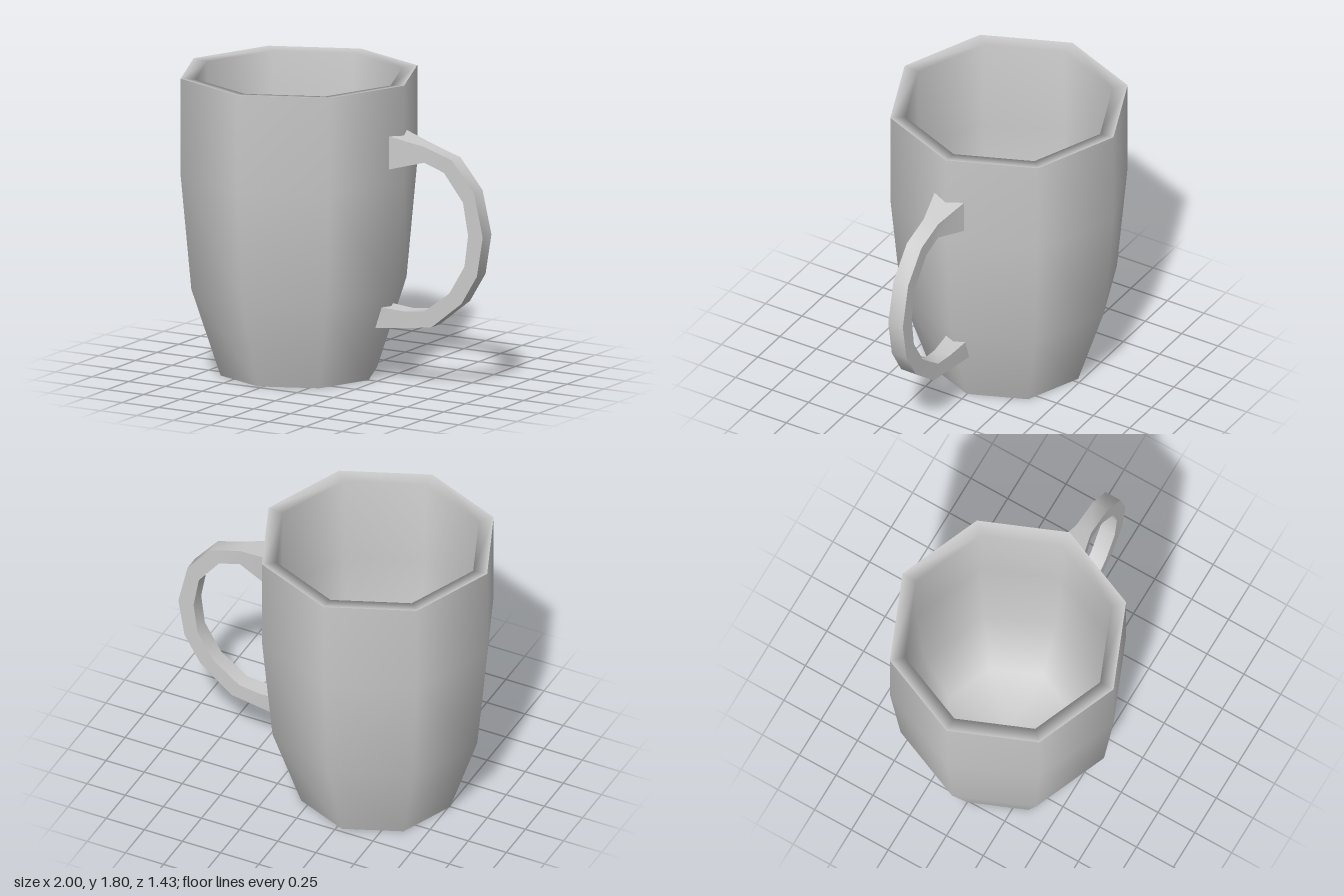
import * as THREE from 'three';
import { toCreasedNormals } from 'three/addons/utils/BufferGeometryUtils.js';

const CUP_X = -0.283;
const grey = () => new THREE.MeshStandardMaterial({ color: 0xcccccc });

// Eight-sided turned surface around the cup's axis; profile is [radius, height]
function turned(name, profile) {
  const points = profile.map(([r, y]) => new THREE.Vector2(r, y));
  const mesh = new THREE.Mesh(new THREE.LatheGeometry(points, 8), grey());
  mesh.position.x = CUP_X;
  mesh.name = name;
  return mesh;
}

// Four-cornered sections [outerX, outerY, innerX, innerY, halfWidth] joined into a closed bar
function sweptBar(sections) {
  const positions = [];
  const index = [];
  for (const [ox, oy, ix, iy, w] of sections) {
    positions.push(ox, oy, w, ox, oy, -w, ix, iy, -w, ix, iy, w);
  }
  const last = (sections.length - 1) * 4;
  for (let i = 0; i < last; i += 4) {
    for (let k = 0; k < 4; k++) {
      const a = i + k, b = i + (k + 1) % 4;
      index.push(a, a + 4, b + 4, a, b + 4, b);
    }
  }
  // End caps
  index.push(0, 1, 2, 0, 2, 3);
  index.push(last, last + 2, last + 1, last, last + 3, last + 2);
  const geometry = new THREE.BufferGeometry();
  geometry.setAttribute('position', new THREE.Float32BufferAttribute(positions, 3));
  geometry.setIndex(index);
  return toCreasedNormals(geometry, 0.75);
}

export function createModel() {
  const model = new THREE.Group();
  model.name = 'mug';

  // Outer wall, tapering towards the foot
  model.add(turned('outerWall', [[0.475, 0], [0.652, 0.53], [0.717, 1.22], [0.717, 1.8]]));

  // Flat underside
  model.add(turned('base', [[0, 0], [0.475, 0]]));

  // Rim, inner wall and floor
  model.add(turned('rimAndInside', [
    [0.717, 1.8], [0.625, 1.79], [0.625, 1.22], [0.565, 0.56], [0.4, 0.1], [0, 0.1],
  ]));

  // Handle, flared where it meets the wall
  const handle = new THREE.Mesh(sweptBar([
    [0.39, 1.51, 0.39, 1.31, 0.102],
    [0.6, 1.46, 0.6, 1.365, 0.05],
    [0.79, 1.4, 0.735, 1.32, 0.05],
    [0.94, 1.22, 0.865, 1.155, 0.05],
    [1, 0.96, 0.9, 0.96, 0.05],
    [0.96, 0.72, 0.875, 0.77, 0.05],
    [0.855, 0.545, 0.77, 0.595, 0.05],
    [0.65, 0.38, 0.6, 0.47, 0.05],
    [0.47, 0.355, 0.47, 0.455, 0.053],
    [0.275, 0.335, 0.32, 0.465, 0.066],
  ]), grey());
  handle.name = 'handle';
  model.add(handle);

  return model;
}
